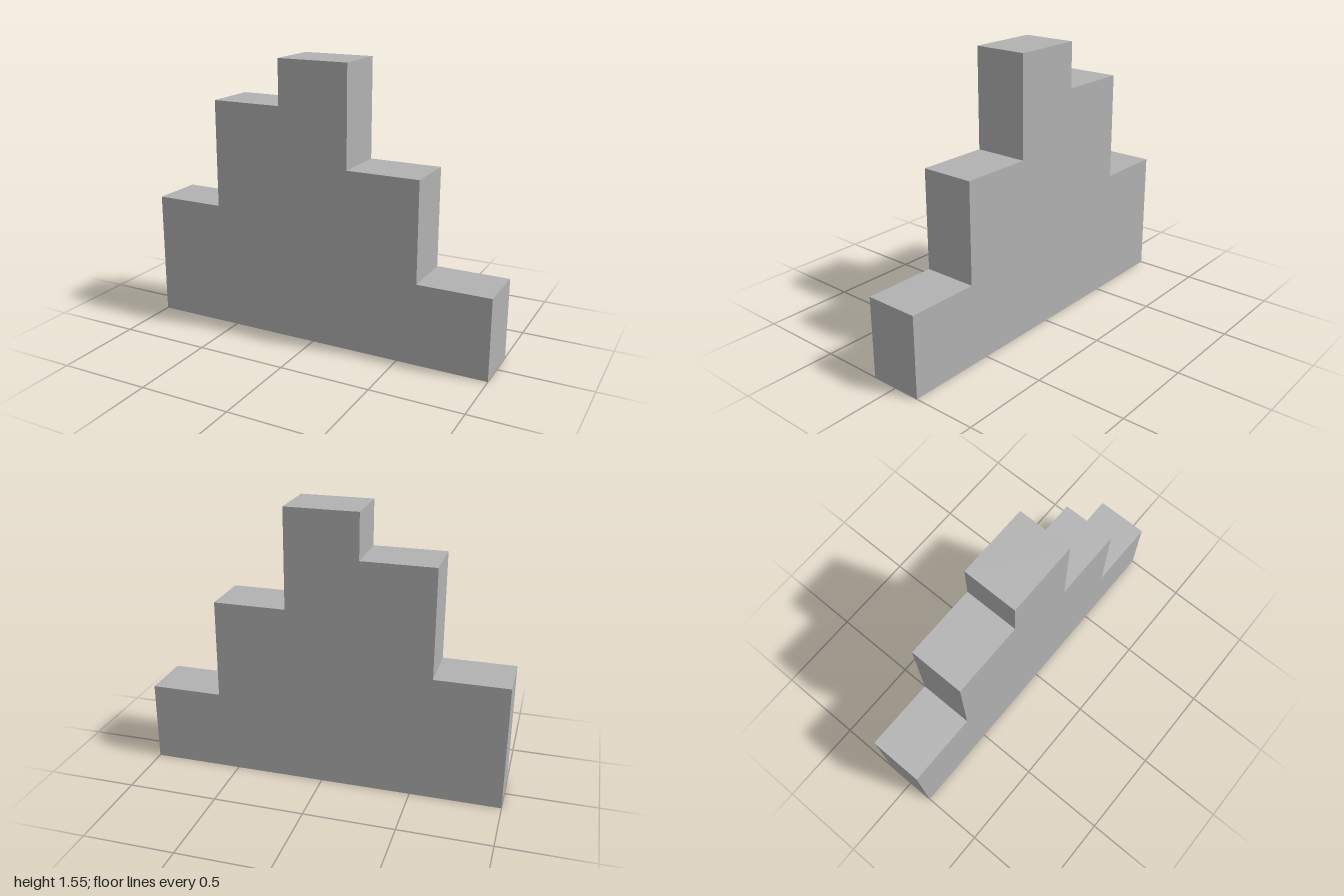
import * as THREE from 'three';

const STEP = 0.4;
const DEPTH = 0.3;
const HEIGHTS = [0.7, 1.3, 1.55, 1.0, 0.45]; // column heights from -x to +x

export function createModel() {
  const group = new THREE.Group();
  group.name = 'steppedBlock';

  const grey = new THREE.MeshStandardMaterial({ color: 0xb2b2b2 });
  grey.name = 'grey';

  // Stepped outline, one flat tread per column
  const left = -STEP * HEIGHTS.length / 2;
  const outline = [new THREE.Vector2(-left, 0), new THREE.Vector2(left, 0)];
  HEIGHTS.forEach((h, i) => {
    outline.push(
      new THREE.Vector2(left + i * STEP, h),
      new THREE.Vector2(left + (i + 1) * STEP, h)
    );
  });

  // Solid slab, centred in depth
  const geometry = new THREE.ExtrudeGeometry(new THREE.Shape(outline), {
    depth: DEPTH,
    bevelEnabled: false,
  });
  geometry.translate(0, 0, -DEPTH / 2);

  const body = new THREE.Mesh(geometry, grey);
  body.name = 'steppedWall';
  group.add(body);
  return group;
}
